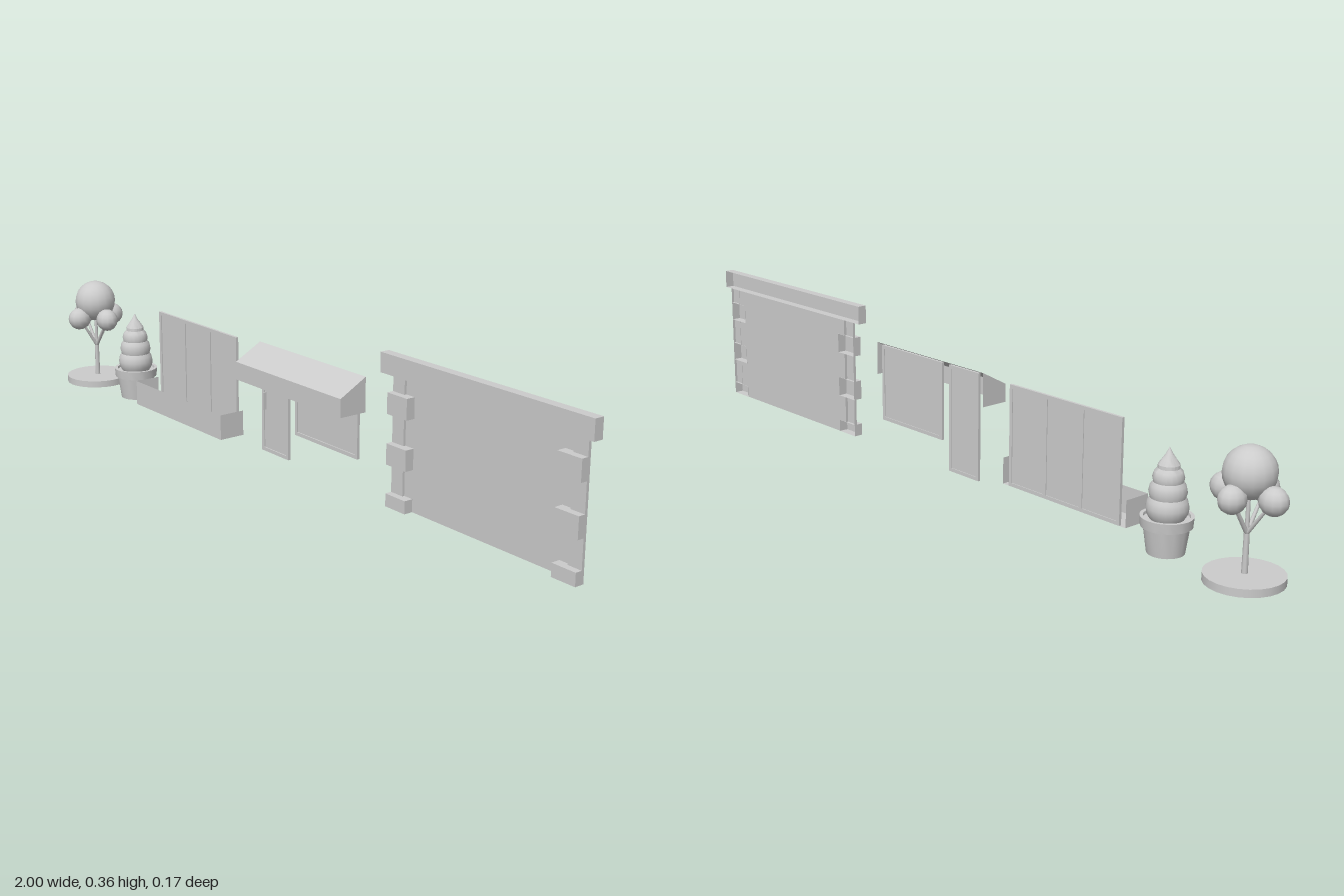
import * as THREE from 'three';
import { toCreasedNormals } from 'three/addons/utils/BufferGeometryUtils.js';

const grey = new THREE.MeshStandardMaterial({ color: 0xcccccc, side: THREE.DoubleSide });

function add(parent, name, geometry) {
  const mesh = new THREE.Mesh(geometry, grey);
  mesh.name = name;
  parent.add(mesh);
  return mesh;
}

function group(parent, name) {
  const g = new THREE.Group();
  g.name = name;
  parent.add(g);
  return g;
}

// Box between two corners, leaving out faces (0 +x, 1 -x, 2 +y, 3 -y, 4 +z, 5 -z)
function shell(x0, x1, y0, y1, z0, z1, skip = []) {
  const g = new THREE.BoxGeometry(x1 - x0, y1 - y0, z1 - z0);
  g.translate((x0 + x1) / 2, (y0 + y1) / 2, (z0 + z1) / 2);
  const index = Array.from(g.index.array).filter((_, i) => !skip.includes(Math.floor(i / 6)));
  g.clearGroups();
  g.setIndex(index);
  return g;
}

function lathe(points, segments) {
  return toCreasedNormals(
    new THREE.LatheGeometry(points.map(([r, y]) => new THREE.Vector2(r, y)), segments), 0.6);
}

// Raised frame around recessed panes
function framed(parent, name, x0, x1, y0, y1, panes = 1) {
  const g = group(parent, name);
  const t = 0.009, d = 0.007;
  add(g, 'pane', shell(x0 + t, x1 - t, y0 + t, y1 - t, 0.002, 0.004));
  add(g, 'bottomRail', shell(x0, x1, y0, y0 + t, 0, d));
  add(g, 'topRail', shell(x0, x1, y1 - t, y1, 0, d));
  for (let i = 0; i <= panes; i++) {
    const x = x0 + (x1 - x0 - t) * i / panes;
    add(g, 'stile', shell(x, x + t, y0 + t, y1 - t, 0, d));
  }
  return g;
}

function rod(parent, name, a, b, r0, r1) {
  const dir = b.clone().sub(a);
  const m = add(parent, name, new THREE.CylinderGeometry(r1, r0, dir.length(), 8));
  m.position.copy(a).addScaledVector(dir, 0.5);
  m.quaternion.setFromUnitVectors(new THREE.Vector3(0, 1, 0), dir.normalize());
}

function tree(parent) {
  const g = group(parent, 'tree');
  g.position.x = -0.905;
  add(g, 'base', new THREE.CylinderGeometry(0.087, 0.087, 0.018, 24)).position.y = 0.009;
  const fork = new THREE.Vector3(0, 0.105, 0);
  rod(g, 'trunk', new THREE.Vector3(0, 0.015, 0), fork, 0.007, 0.006);
  rod(g, 'centreBranch', fork, new THREE.Vector3(0, 0.2, 0), 0.005, 0.004);
  add(g, 'crown', new THREE.SphereGeometry(0.057, 16, 12)).position.y = 0.236;
  // Four smaller leaf clumps, each on its own branch
  for (let i = 0; i < 4; i++) {
    const a = i * Math.PI / 2;
    const reach = i % 2 ? 0.053 : 0.062;
    const p = new THREE.Vector3(Math.cos(a) * reach, 0.19, Math.sin(a) * reach);
    rod(g, 'branch', fork, p, 0.005, 0.003);
    const clump = add(g, 'leafClump', new THREE.SphereGeometry(0.031, 12, 8));
    clump.scale.set(1.06, 1, 0.95);
    clump.rotation.y = -a;
    clump.position.copy(p);
  }
}

function pottedShrub(parent) {
  const g = group(parent, 'pottedShrub');
  g.position.x = -0.693;
  add(g, 'pot', lathe([[0.042, 0], [0.051, 0.061], [0.057, 0.061], [0.059, 0.084],
    [0.051, 0.084], [0.05, 0.078], [0, 0.078]], 24));
  // Tiered foliage narrowing to a point
  add(g, 'foliage', lathe([[0.038, 0.078], [0.045, 0.09], [0.047, 0.104], [0.044, 0.118],
    [0.039, 0.126], [0.042, 0.138], [0.039, 0.153], [0.033, 0.161], [0.035, 0.171],
    [0.031, 0.184], [0.024, 0.191], [0.024, 0.199], [0.015, 0.212], [0.008, 0.222], [0, 0.238]], 20));
}

function windowWithPlanter(parent) {
  const g = group(parent, 'windowWithPlanter');
  framed(g, 'tripleWindow', -0.556, -0.2, 0.02, 0.27, 3);
  add(g, 'planter', shell(-0.572, -0.176, 0.018, 0.083, 0.004, 0.074, [2, 5]));
}

function shopFront(parent) {
  const g = group(parent, 'shopFront');
  framed(g, 'shopWindow', 0.043, 0.278, 0.075, 0.274);
  const door = framed(g, 'door', -0.091, 0.016, 0.002, 0.274);
  add(door, 'handle', shell(-0.081, -0.077, 0.11, 0.155, 0.004, 0.012));
  // Awning: open below and behind, roof sloping to the front
  const awning = shell(-0.107, 0.297, 0.193, 0.278, 0, 0.074, [3, 5]);
  const p = awning.attributes.position;
  for (let i = 0; i < p.count; i++) {
    if (p.getY(i) > 0.25 && p.getZ(i) > 0.05) p.setY(i, 0.238);
  }
  awning.computeVertexNormals();
  add(g, 'awning', awning);
}

function wall(parent) {
  const g = group(parent, 'wall');
  const mid = 0.685, half = 0.286, narrow = 0.248, wide = 0.221, top = 0.31;
  // Bottom and top of each raised corner stone
  const stones = [[0, 0.031], [0.1, 0.15], [0.219, 0.269]];
  const edge = [];
  stones.forEach(([y0, y1], i) => {
    const next = i < stones.length - 1 ? stones[i + 1][0] : top;
    edge.push([wide, y0], [wide, y1], [narrow, y1], [narrow, next]);
    for (const s of [-1, 1]) {
      const span = (w) => [mid + s * half, mid + s * w].sort((a, b) => a - b);
      add(g, 'cornerStone', shell(...span(wide), y0, y1, 0, 0.024, [5]));
      add(g, 'cornerStrip', shell(...span(narrow), y1, next, 0, 0.007, [2, 3, 5]));
    }
  });
  // Panel fitted between the corner stones
  const outline = [
    ...edge.map(([x, y]) => new THREE.Vector2(mid + x, y)),
    ...edge.reverse().map(([x, y]) => new THREE.Vector2(mid - x, y)),
  ];
  add(g, 'panel', new THREE.ShapeGeometry(new THREE.Shape(outline))).position.z = 0.001;
  add(g, 'cornice', shell(0.374, 0.998, top, 0.357, 0, 0.024, [5]));
}

export function createModel() {
  const model = new THREE.Group();
  model.name = 'streetParts';
  tree(model);
  pottedShrub(model);
  windowWithPlanter(model);
  shopFront(model);
  wall(model);
  return model;
}
